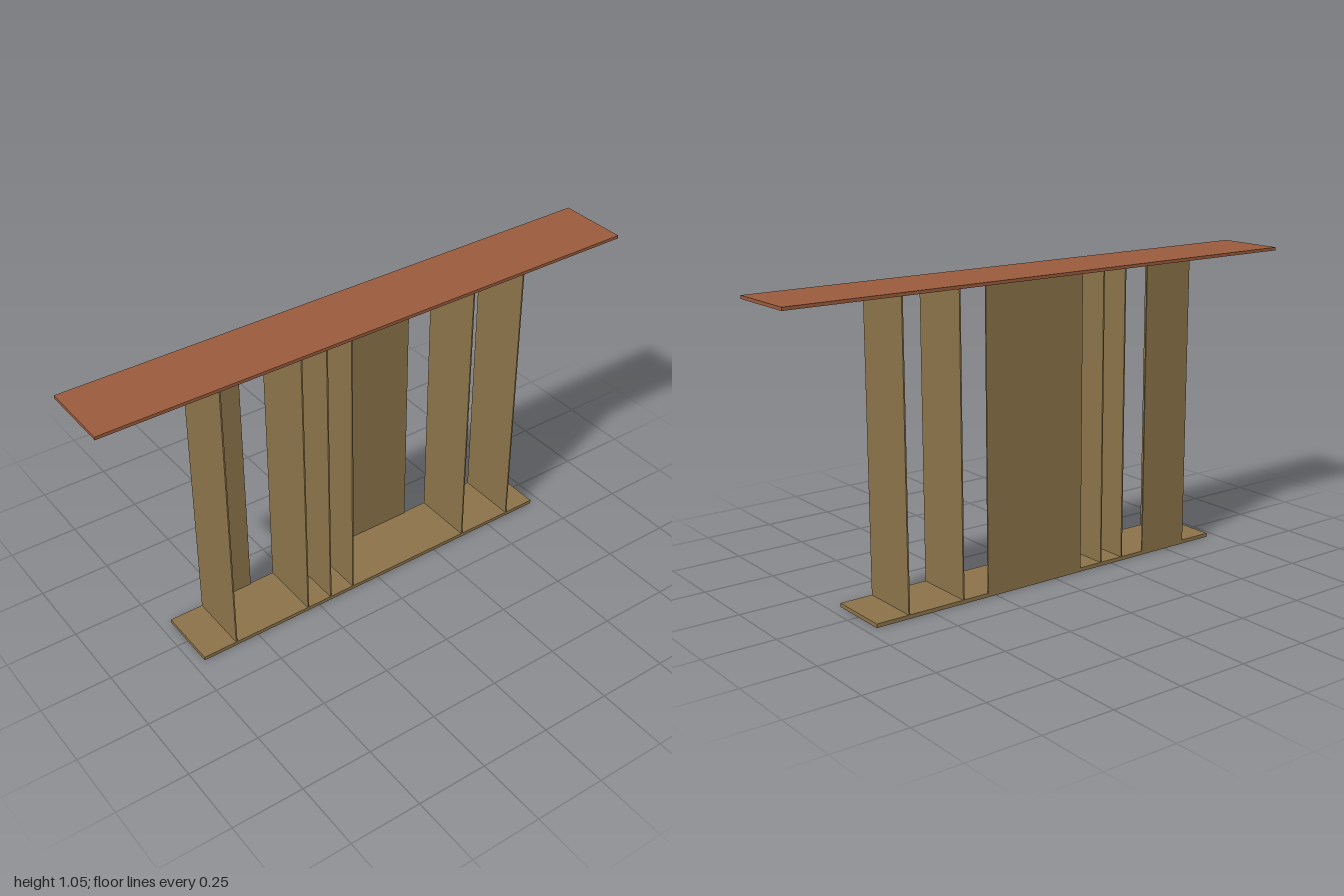
import * as THREE from 'three';

export function createModel() {
  const model = new THREE.Group();
  const oak = new THREE.MeshStandardMaterial({ color: 0x8b7349 });
  oak.name = 'oakBrown';
  const red = new THREE.MeshStandardMaterial({ color: 0x9a5b3c });
  red.name = 'reddishWood';

  // A board given by its lower and upper limits on each axis
  function board(name, material, [x0, x1], [y0, y1], [z0, z1]) {
    const mesh = new THREE.Mesh(new THREE.BoxGeometry(x1 - x0, y1 - y0, z1 - z0), material);
    mesh.position.set((x0 + x1) / 2, (y0 + y1) / 2, (z0 + z1) / 2);
    mesh.name = name;
    model.add(mesh);
  }

  const depth = 0.111, baseTop = 0.0135, underside = 1.036, t = 0.005;
  const height = [baseTop, underside];

  // Horizontal boards
  board('basePlate', oak, [-0.71, 0.71], [0, baseTop], [-depth, depth]);
  board('tableTop', red, [-1, 1], [underside, 1.047], [-0.126, 0.126]);

  // Thin upright dividers
  [-0.585, -0.296, -0.202, -0.108, 0.379, 0.589].forEach((x, i) =>
    board(`divider${i + 1}`, oak, [x - t / 2, x + t / 2], height, [-depth, depth]));

  // Back panels, flush with the rear edge, each starting at a divider
  [[-0.5825, -0.393], [-0.1055, 0.281]].forEach((span, i) =>
    board(`backPanel${i + 1}`, oak, span, height, [-depth, -depth + t]));

  return model;
}
